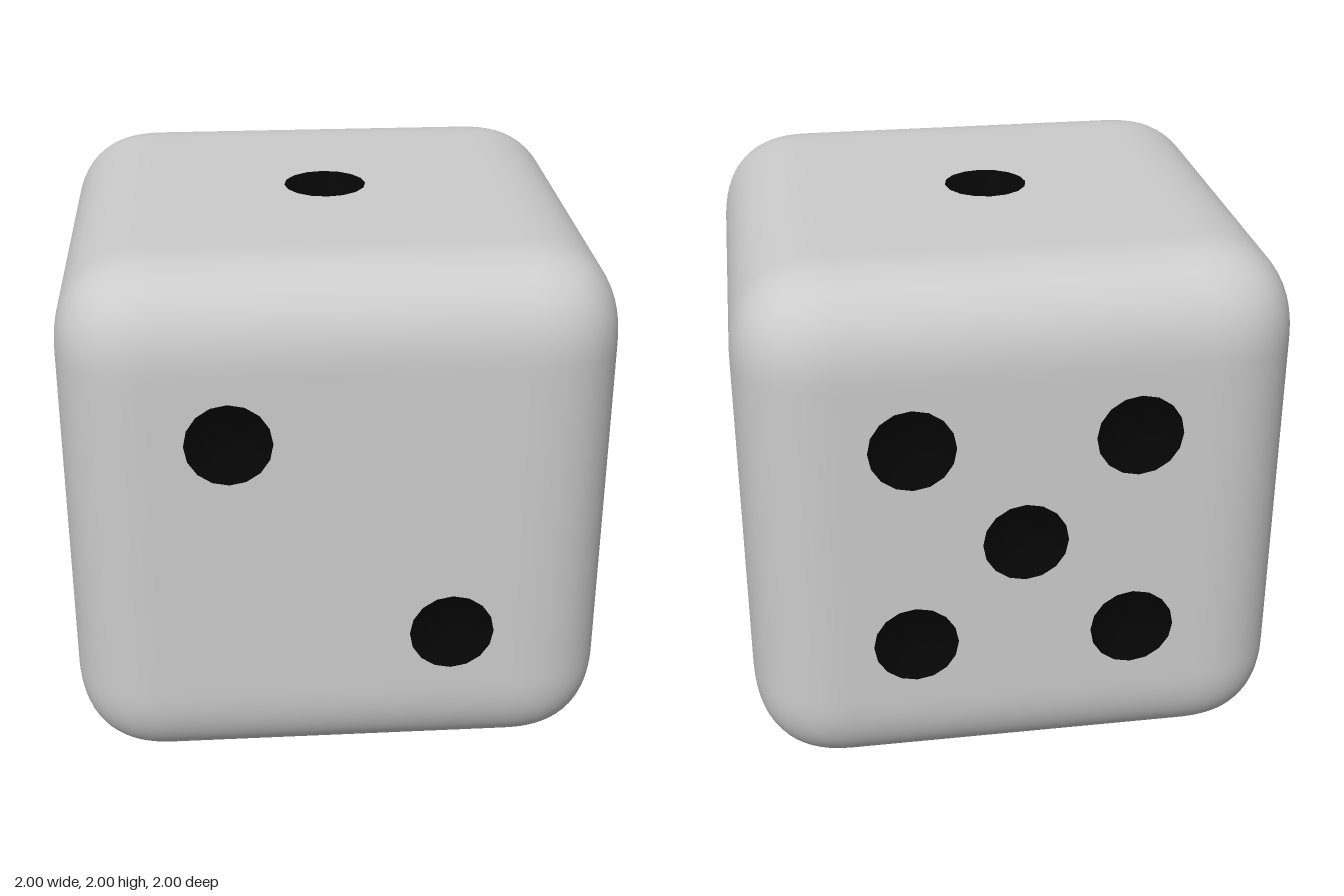
import * as THREE from 'three';

const EDGE = 0.37;     // extent of the edge rounding
const POWER = 2.5;     // slightly squarer than a circular fillet
const STEPS = 9;       // segments across half a rounded edge
const PIP_R = 0.155;
const PIP_DEPTH = 0.08;
const FLAT = 1 - EDGE; // half size of each flat panel

// Rounded edges and corners: a box whose rim vertices are swept onto a superellipse,
// leaving the flat centre of each face open
function shellGeometry() {
  const n = 2 * STEPS + 1;
  const geo = new THREE.BoxGeometry(n, n, n, n, n, n);
  const pos = geo.attributes.position, nor = geo.attributes.normal;
  const flat = [];
  for (let i = 0; i < pos.count; i++) {
    const p = [pos.getX(i), pos.getY(i), pos.getZ(i)];
    const d = p.map((v) => Math.sign(v) * Math.tan(((Math.abs(v) - 0.5) / STEPS) * Math.PI / 4));
    const len = Math.pow(d.reduce((s, v) => s + Math.pow(Math.abs(v), POWER), 0), 1 / POWER);
    pos.setXYZ(i, ...d.map((v, k) => Math.sign(p[k]) * FLAT + EDGE * v / len));
    const g = new THREE.Vector3(...d.map((v) => Math.sign(v) * Math.pow(Math.abs(v), POWER - 1))).normalize();
    nor.setXYZ(i, g.x, g.y, g.z);
    flat.push(d.filter((v) => Math.abs(v) < 1e-6).length === 2);
  }
  const src = geo.index.array, kept = [];
  for (let i = 0; i < src.length; i += 3) {
    const tri = [src[i], src[i + 1], src[i + 2]];
    if (!tri.every((v) => flat[v])) kept.push(...tri);
  }
  geo.setIndex(kept);
  geo.clearGroups();
  return geo;
}

// Flat panel with a round hole for every pip
function panelGeometry(pips) {
  const s = new THREE.Shape();
  s.moveTo(-FLAT, -FLAT).lineTo(FLAT, -FLAT).lineTo(FLAT, FLAT).lineTo(-FLAT, FLAT).closePath();
  for (const [x, y] of pips) {
    s.holes.push(new THREE.Path().absarc(x, y, PIP_R, 0, Math.PI * 2, true));
  }
  return new THREE.ShapeGeometry(s, 8);
}

// Shallow spherical bowl opening towards +z
function pipGeometry() {
  const R = (PIP_R ** 2 + PIP_DEPTH ** 2) / (2 * PIP_DEPTH);
  const a = Math.asin(PIP_R / R), pts = [];
  for (let i = 0; i <= 6; i++) {
    const t = a * (1 - i / 6);
    pts.push(new THREE.Vector2(R * Math.sin(t), R - PIP_DEPTH - R * Math.cos(t)));
  }
  return new THREE.LatheGeometry(pts, 16).rotateX(Math.PI / 2);
}

export function createModel() {
  const model = new THREE.Group();
  const body = new THREE.MeshStandardMaterial({ color: 0xcccccc });
  const black = new THREE.MeshStandardMaterial({ color: 0x050505, side: THREE.DoubleSide });

  const die = new THREE.Group();
  die.name = 'die';
  die.position.y = 1;
  model.add(die);

  const shell = new THREE.Mesh(shellGeometry(), body);
  shell.name = 'roundedEdges';
  die.add(shell);

  // Pip layouts
  const c = 0.4, H = Math.PI / 2;
  const one = [[0, 0]];
  const two = [[-c, c], [c, -c]];
  const four = [...two, [c, c], [-c, -c]];
  const six = [...four, [0, c], [0, -c]];
  const faces = [
    ['front', 0, 0, two],
    ['left', 0, H, four],
    ['back', 0, Math.PI, [...four, ...one]],
    ['right', 0, -H, [...two, ...one]],
    ['top', -H, 0, one],
    ['bottom', H, 0, six],
  ];

  const pipGeo = pipGeometry();
  for (const [name, rx, ry, pips] of faces) {
    const face = new THREE.Group();
    face.name = name + 'Face';
    face.rotation.set(rx, ry, 0);

    const panel = new THREE.Mesh(panelGeometry(pips), body);
    panel.name = name + 'Panel';
    panel.position.z = 1;
    face.add(panel);

    for (const [x, y] of pips) {
      const pip = new THREE.Mesh(pipGeo, black);
      pip.name = name + 'Pip';
      pip.position.set(x, y, 1);
      face.add(pip);
    }
    die.add(face);
  }
  return model;
}
